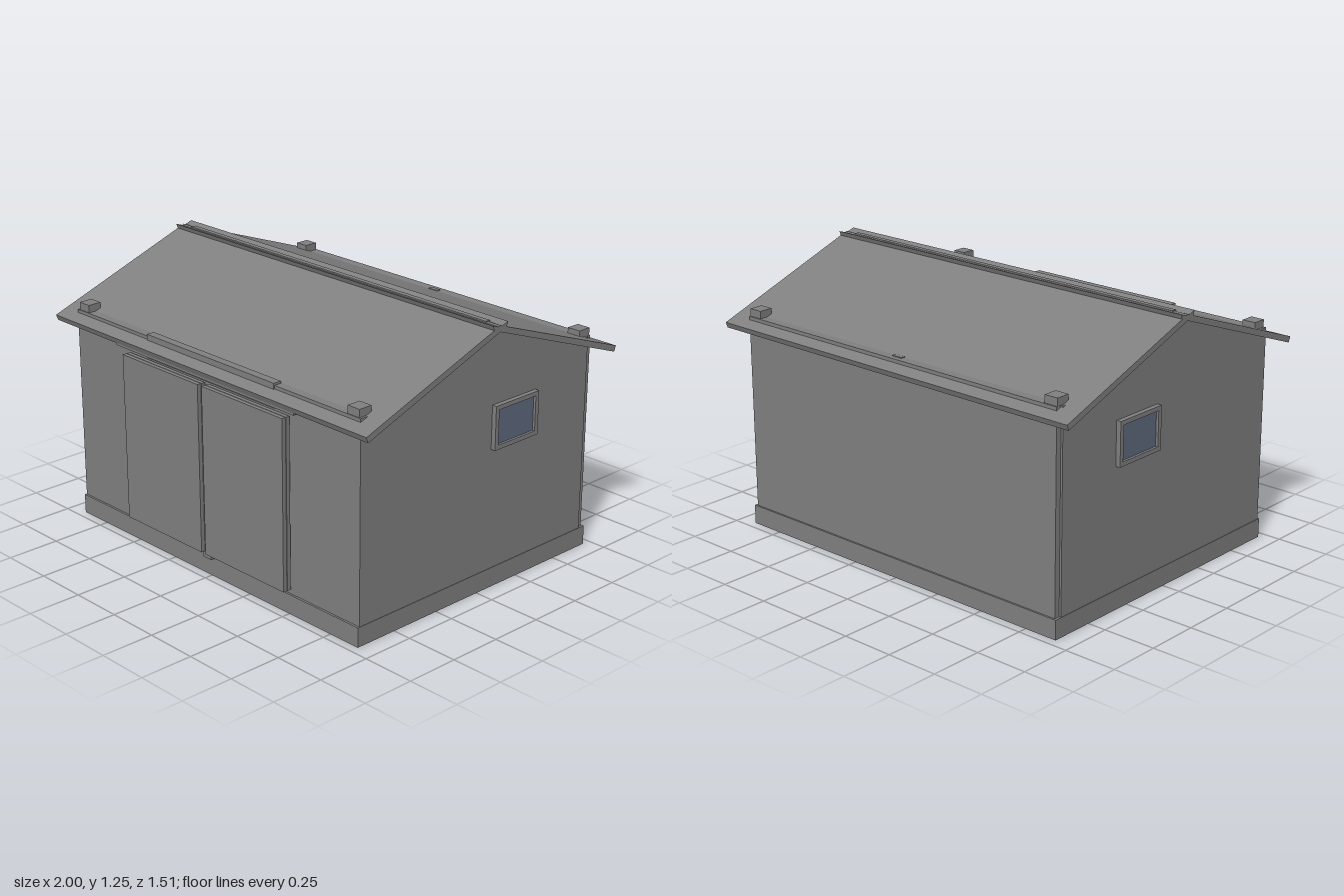
import * as THREE from 'three';

export function createModel() {
  const model = new THREE.Group();
  model.name = 'shed';
  const grey = new THREE.MeshStandardMaterial({ color: 0x808080 });
  grey.name = 'grey panel';
  const glass = new THREE.MeshStandardMaterial({ color: 0x606b80 });
  glass.name = 'blue grey glass';

  const add = (name, geometry, material = grey) => {
    const mesh = new THREE.Mesh(geometry, material);
    mesh.name = name;
    model.add(mesh);
    return mesh;
  };
  // Box given by its lower and upper limits on each axis
  const box = (name, x0, x1, y0, y1, z0, z1, material) => {
    const mesh = add(name, new THREE.BoxGeometry(x1 - x0, y1 - y0, z1 - z0), material);
    mesh.position.set((x0 + x1) / 2, (y0 + y1) / 2, (z0 + z1) / 2);
    return mesh;
  };
  // Cross-section drawn in z and y, extruded along x and centred
  const profile = (name, points, width) => {
    const shape = new THREE.Shape(points.map(([z, y]) => new THREE.Vector2(-z, y)));
    const geometry = new THREE.ExtrudeGeometry(shape, { depth: width, bevelEnabled: false });
    geometry.translate(0, 0, -width / 2).rotateY(Math.PI / 2);
    return add(name, geometry);
  };

  // Base and walls; the wall tops stand slightly through the eaves
  box('base', -0.912, 0.912, 0, 0.09, -0.71, 0.71);
  box('walls', -0.91, 0.91, 0.09, 1.0, -0.675, 0.7);
  box('backWall', -0.9, 0.9, 0.09, 1.0, -0.702, -0.675);
  profile('gables', [[-0.575, 1], [0.575, 1], [0, 1.212]], 1.82);

  // Roof slopes and the raised ridge flashing
  for (const s of [1, -1]) {
    profile('roofSlope', [[0, 1.21], [s * 0.747, 0.938], [s * 0.757, 0.964], [0, 1.238]], 2);
    profile('ridgeFlashing', [[0, 1.208], [s * 0.036, 1.222], [s * 0.045, 1.246], [0, 1.231]], 2);
  }
  box('ridgeBeam', -0.93, 0.93, 1.2, 1.241, -0.012, 0.012);

  // Corner post caps and centre posts along both eaves
  for (const s of [1, -1]) {
    for (const x of [-0.866, 0.866]) {
      box('postCap', x - 0.033, x + 0.033, 0.96, 1.035, s * 0.663 - 0.033, s * 0.663 + 0.033);
    }
    box('centrePost', -0.026, 0.026, 0.95, 1.004, s * 0.667 - 0.011, s * 0.667 + 0.011);
  }

  // Door opening trim, track and layered sliding doors
  box('doorLintel', -0.41, 0.41, 0.9, 1.01, 0.665, 0.704);
  box('doorSill', -0.41, 0.41, 0.1, 0.12, 0.69, 0.705);
  box('doorTrack', -0.575, 0.575, 0.928, 0.95, 0.728, 0.746);
  box('floorGuide', -0.03, 0.025, 0.09, 0.122, 0.69, 0.735);
  for (const [x0, x1] of [[-0.52, -0.014], [0.012, 0.514]]) {
    box('doorInnerPanel', x0, x1, 0.12, 0.9, 0.714, 0.733);
    box('doorOuterPanel', x0, x1, 0.12, 0.9, 0.736, 0.755);
  }

  // Side windows: a frame around a recessed pane
  for (const s of [1, -1]) {
    const sideBox = (name, d0, d1, y0, y1, z0, z1, material) =>
      box(name, Math.min(s * d0, s * d1), Math.max(s * d0, s * d1), y0, y1, z0, z1, material);
    sideBox('windowFrameTop', 0.905, 0.932, 0.828, 0.848, -0.338, -0.068);
    sideBox('windowFrameBottom', 0.905, 0.932, 0.648, 0.668, -0.338, -0.068);
    sideBox('windowFrameBack', 0.905, 0.932, 0.668, 0.828, -0.338, -0.318);
    sideBox('windowFrameFront', 0.905, 0.932, 0.668, 0.828, -0.088, -0.068);
    sideBox('windowPane', 0.912, 0.92, 0.668, 0.828, -0.318, -0.088, glass);
  }
  return model;
}
